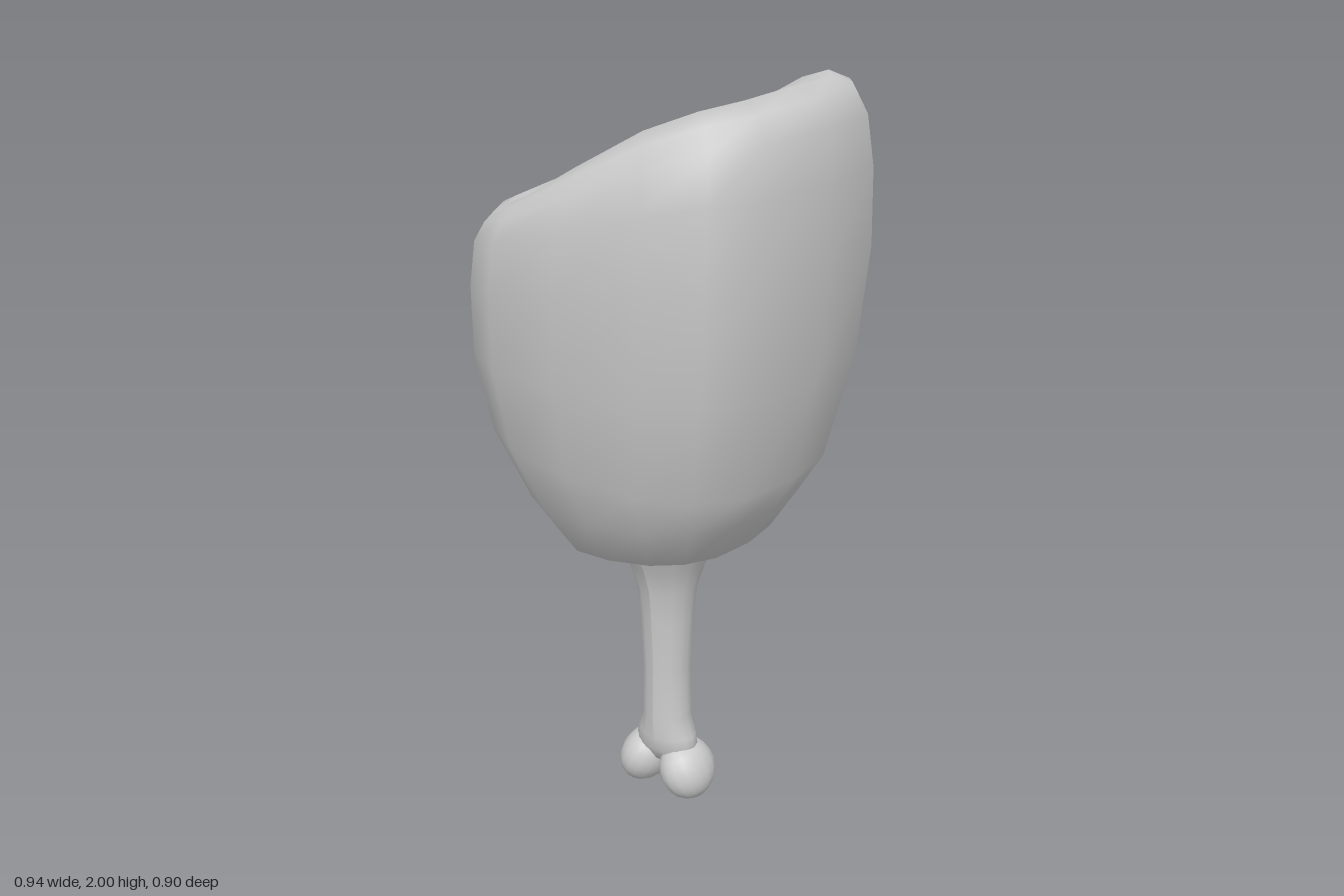
import * as THREE from 'three';

const SIDES = 16;

// Ring: [left x, left y, right x, right y, half depth, backward rise, squareness of the left side]
const MEAT_RINGS = [
  [0, 0.75, 0, 0.75, 0, 0],
  [-0.11, 0.765, 0.12, 0.765, 0.11, 0],
  [-0.24, 0.80, 0.26, 0.84, 0.265, 0],
  [-0.34, 0.92, 0.33, 0.95, 0.325, 0],
  [-0.44, 1.11, 0.39, 1.05, 0.385, 0],
  [-0.47, 1.32, 0.44, 1.32, 0.435, 0],
  [-0.46, 1.49, 0.465, 1.60, 0.452, 0],
  [-0.44, 1.60, 0.46, 1.79, 0.448, 0],
  [-0.42, 1.65, 0.445, 1.91, 0.42, 0.03],
  [-0.40, 1.685, 0.41, 1.975, 0.385, 0.06],
  [-0.37, 1.70, 0.36, 2.00, 0.345, 0.06],
  [-0.33, 1.71, 0.30, 1.95, 0.30, 0.06],
  [-0.22, 1.74, 0.22, 1.88, 0.21, 0.03],
  [-0.11, 1.78, 0.12, 1.84, 0.11, 0],
  [0.01, 1.81, 0.01, 1.81, 0, 0],
];

// Rounded-square rings, tilted progressively, squarer on the tall side
function meatGeometry() {
  const pos = [], index = [];
  MEAT_RINGS.forEach(([xl, yl, xr, yr, depth, rise], r) => {
    for (let i = 0; i < SIDES; i++) {
      const a = (i / SIDES) * Math.PI * 2;
      const power = 0.79 - 0.13 * Math.max(0, Math.cos(a)) * (yl > 1.3 ? 1 : 0);
      const soften = (v) => Math.sign(v) * Math.abs(v) ** power;
      const t = (soften(Math.cos(a)) + 1) / 2;
      const s = soften(Math.sin(a));
      const curve = 0.2 * t + 0.8 * t * t * (3 - 2 * t);
      const y = yl + (yr - yl) * curve - s * rise * 0.4;
      pos.push(xl + (xr - xl) * t, Math.min(y, 2), s * depth);
      if (r === MEAT_RINGS.length - 1) continue;
      const p = r * SIDES + i, q = r * SIDES + (i + 1) % SIDES;
      index.push(p, p + SIDES, q, q, p + SIDES, q + SIDES);
    }
  });
  const g = new THREE.BufferGeometry();
  g.setAttribute('position', new THREE.Float32BufferAttribute(pos, 3));
  g.setIndex(index);
  g.computeVertexNormals();
  return g;
}

// Round shaft that flares into the meat and widens sideways at the foot
function shaftGeometry() {
  const profile = [
    [0, 0.1], [0.045, 0.11], [0.064, 0.15], [0.067, 0.19], [0.067, 0.25], [0.066, 0.4],
    [0.073, 0.55], [0.083, 0.65], [0.105, 0.72], [0.13, 0.775],
  ].map(([r, y]) => new THREE.Vector2(r, y));
  const g = new THREE.LatheGeometry(profile, SIDES);
  const p = g.attributes.position;
  for (let i = 0; i < p.count; i++) {
    p.setX(i, p.getX(i) * (1 + 5 * Math.max(0, 0.25 - p.getY(i))));
  }
  g.computeVertexNormals();
  return g;
}

export function createModel() {
  const model = new THREE.Group();
  model.name = 'drumstick';
  const material = new THREE.MeshStandardMaterial({ color: 0xcccccc });
  const add = (name, geometry) => {
    const mesh = new THREE.Mesh(geometry, material);
    mesh.name = name;
    model.add(mesh);
    return mesh;
  };

  add('meat', meatGeometry());
  add('boneShaft', shaftGeometry());

  // Cut end of the bone, low in the dished top
  const boneEnd = add('boneEnd', new THREE.CylinderGeometry(0.092, 0.118, 0.08, SIDES));
  boneEnd.position.set(0.01, 1.815, 0);
  boneEnd.rotation.z = 0.2;

  // Paired knuckles at the foot of the bone
  for (const side of [-1, 1]) {
    const knuckle = add(side > 0 ? 'leftKnuckle' : 'rightKnuckle',
      new THREE.SphereGeometry(1, 16, 12));
    knuckle.scale.set(0.07, 0.088, 0.09);
    knuckle.position.set(side * 0.07, 0.086, 0);
    knuckle.rotation.z = side * 0.45;
  }
  return model;
}
